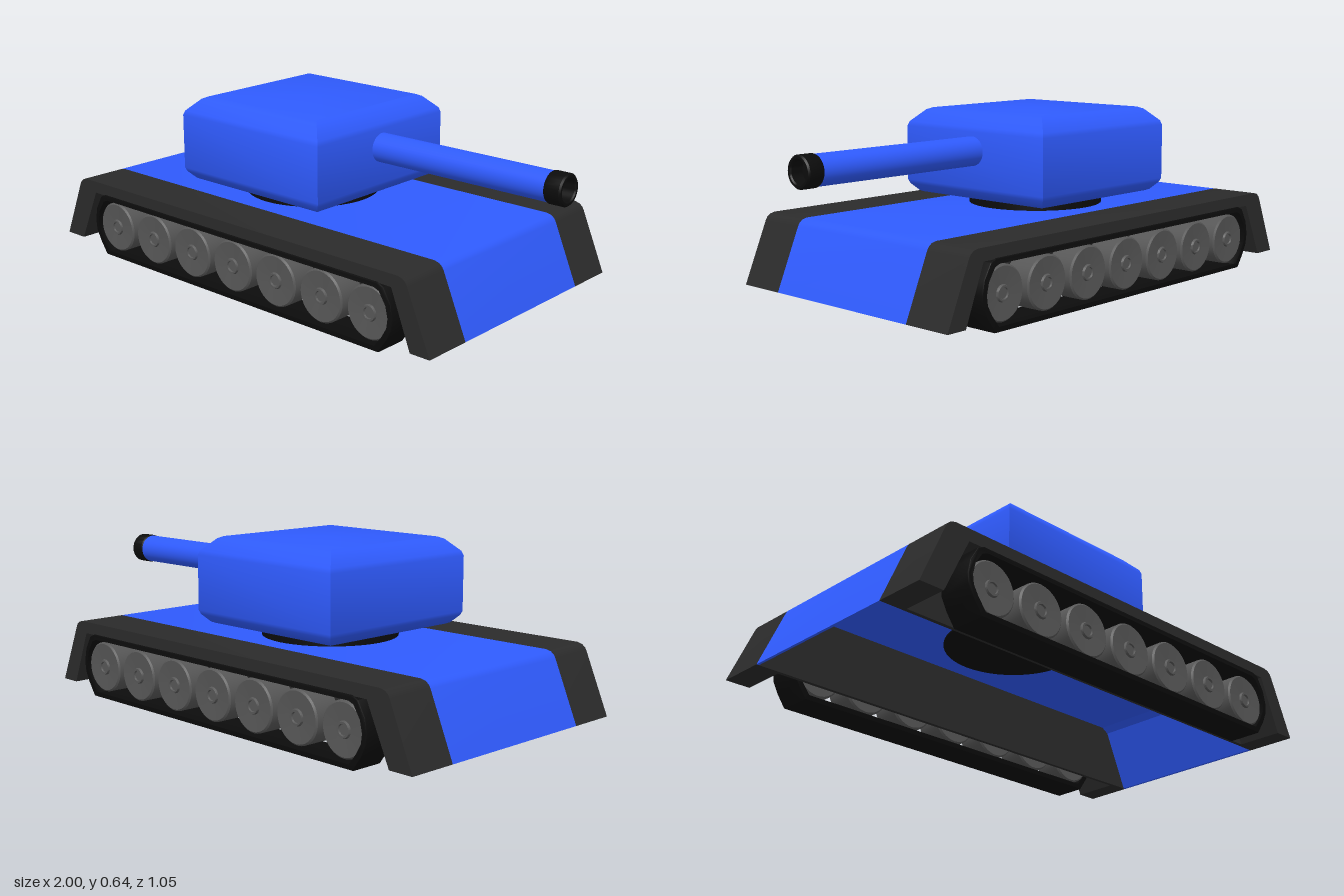
import * as THREE from 'three';
import { toCreasedNormals } from 'three/addons/utils/BufferGeometryUtils.js';

const paint = (color) => new THREE.MeshStandardMaterial({ color, side: THREE.DoubleSide });
const BLUE = paint(0x2f5bff), DARK = paint(0x2b2b2b), BLACK = paint(0x0c0c0c), GREY = paint(0x575757);

const vecs = (pts) => pts.map(([x, y]) => new THREE.Vector2(x, y));

function part(name, geometry, material, crease = 0.55) {
  const mesh = new THREE.Mesh(toCreasedNormals(geometry, crease), material);
  mesh.name = name;
  return mesh;
}

// Side profile extruded from z0 to z1, with an optional hole and edge bevel
function slab(outline, z0, z1, hole, bevel = 0) {
  const shape = new THREE.Shape(vecs(outline));
  if (hole) shape.holes.push(new THREE.Path(vecs(hole)));
  const geometry = new THREE.ExtrudeGeometry(shape, {
    depth: z1 - z0 - 2 * bevel, bevelEnabled: bevel > 0,
    bevelSize: bevel, bevelThickness: bevel, bevelOffset: -bevel, bevelSegments: 2,
  });
  return geometry.translate(0, 0, z0 + bevel);
}

const lathe = (pts, sides = 40, start = 0) => new THREE.LatheGeometry(vecs(pts), sides, start);

// Outline shared by the hull and the fenders, from rear foot to front foot
const HULL = [[-1, 0.035], [-0.905, 0.258], [-0.898, 0.27], [-0.885, 0.28], [-0.865, 0.285],
  [0.71, 0.285], [0.73, 0.28], [0.743, 0.27], [0.75, 0.258], [0.845, 0.035]];
const HULL_INSIDE = [[0.835, 0.035], [0.74, 0.258], [0.71, 0.277], [-0.865, 0.277], [-0.895, 0.258], [-0.99, 0.035]];
const FENDER_INSIDE = [[0.765, 0.035], [0.685, 0.24], [-0.81, 0.24], [-0.905, 0.035]];

// Track loop: straight runs joined by rounded ends, inset by t
function trackLoop(t) {
  const left = [[-0.755, 0], [-0.79, 0.05], [-0.81, 0.09], [-0.815, 0.13], [-0.805, 0.18], [-0.775, 0.232], [-0.75, 0.243]];
  const cx = -0.06, cy = 0.1215;
  const shrink = ([x, y]) => [cx + (x - cx) * (1 - t / 0.755), cy + (y - cy) * (1 - t / 0.1215)];
  const right = left.map(([x, y]) => [2 * cx - x, y]).reverse();
  return [...left, ...right].map(shrink);
}

function runningGear(side) {
  const group = new THREE.Group();
  group.name = side > 0 ? 'leftRunningGear' : 'rightRunningGear';
  // Slab spanning a to b outward from the centre line
  const sideSlab = (outline, a, b, hole, bevel) =>
    slab(outline, side > 0 ? a : -b, side > 0 ? b : -a, hole, bevel);

  group.add(part('fender', sideSlab([...HULL, ...FENDER_INSIDE], 0.33, 0.518), DARK));
  group.add(part('fenderInnerWall', sideSlab(HULL, 0.33, 0.345), DARK));
  group.add(part('track', sideSlab(trackLoop(0), 0.392, 0.523, trackLoop(0.014), 0.005), BLACK));

  // Road wheels with a rim edge and a small raised hub
  const profile = [[0, 0.4], [0.09, 0.4], [0.096, 0.406], [0.096, 0.502], [0.09, 0.508],
    [0.03, 0.504], [0.027, 0.512], [0.02, 0.512], [0.018, 0.506], [0, 0.506]];
  for (let i = 0; i < 7; i++) {
    const wheel = part('roadWheel', lathe(profile, 36).rotateX(side * Math.PI / 2), GREY, 0.4);
    wheel.position.set(-0.7 + i * 0.214, 0.12, 0);
    group.add(wheel);
  }
  return group;
}

export function createModel() {
  const model = new THREE.Group();
  model.name = 'tank';

  // Hollow hull shell, open underneath
  model.add(part('hull', slab([...HULL, ...HULL_INSIDE], -0.33, 0.33), BLUE));
  model.add(runningGear(1), runningGear(-1));

  // Turret ring
  const ring = part('turretRing', lathe([[0, 0.27], [0.253, 0.27], [0.253, 0.335], [0, 0.335]], 48), BLACK);
  ring.position.x = -0.135;
  model.add(ring);

  // Square turret with chamfered top and bottom: half widths by height
  const steps = [[0, 0.322], [0.3, 0.322], [0.312, 0.327], [0.338, 0.355], [0.344, 0.37],
    [0.344, 0.575], [0.338, 0.592], [0.293, 0.637], [0.275, 0.645], [0, 0.645]];
  const turret = part('turret', lathe(steps.map(([w, y]) => [w * Math.SQRT2, y]), 4, Math.PI / 4), BLUE);
  turret.position.x = -0.135;
  model.add(turret);

  // Gun barrel and hollow muzzle, pointing along +x
  const barrel = part('gunBarrel', lathe([[0.054, 0.15], [0.054, 0.945]], 32).rotateZ(-Math.PI / 2), BLUE);
  const muzzle = part('muzzle', lathe([[0.054, 0.935], [0.057, 0.94], [0.057, 0.994], [0.052, 1],
    [0.044, 1], [0.04, 0.995], [0.04, 0.95], [0, 0.95]], 32).rotateZ(-Math.PI / 2), BLACK);
  barrel.position.y = muzzle.position.y = 0.505;
  model.add(barrel, muzzle);

  return model;
}
